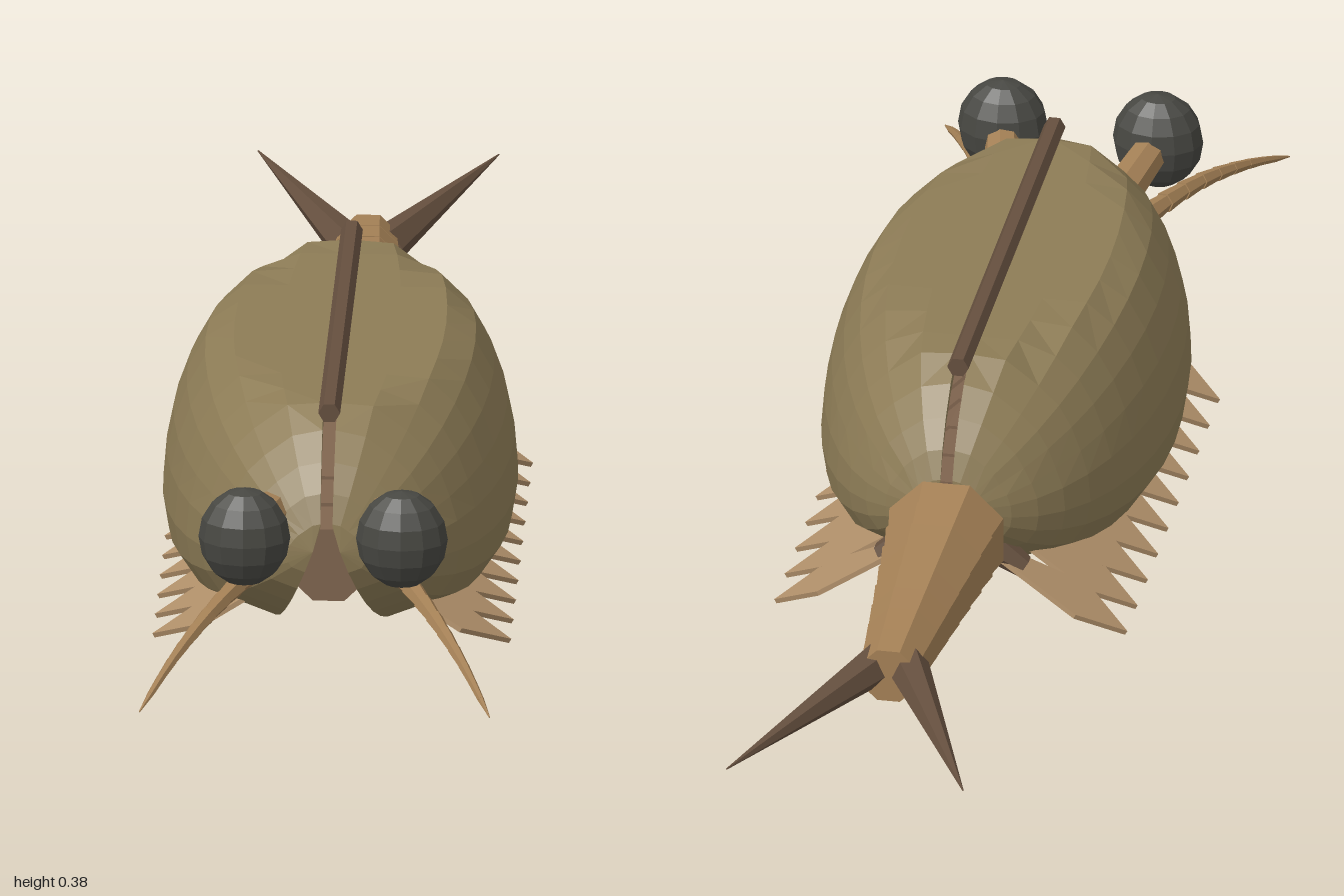
import * as THREE from 'three';

const V = (x, y, z) => new THREE.Vector3(x, y, z);
const mat = (color) => new THREE.MeshStandardMaterial({ color, flatShading: true, side: THREE.DoubleSide });
const SHELL = mat(0x8d7c56), TAN = mat(0xa58156), FIN = mat(0xb1906a),
  DARK = mat(0x66503f), BODY = mat(0x80654f), EYE = mat(0x474742);

function add(parent, name, geometry, material) {
  const mesh = new THREE.Mesh(geometry, material);
  mesh.name = name;
  parent.add(mesh);
  return mesh;
}

// Tapered cylinder running from point a to point b
function limb(parent, name, a, b, ra, rb, sides, material, turn = 0) {
  const geo = new THREE.CylinderGeometry(rb, ra, a.distanceTo(b), sides);
  geo.rotateY(turn);
  const mesh = add(parent, name, geo, material);
  mesh.position.copy(a).add(b).multiplyScalar(0.5);
  mesh.quaternion.setFromUnitVectors(V(0, 1, 0), b.clone().sub(a).normalize());
  return mesh;
}

// Hollow half shell: a thick curved section swept along z, shrinking to both tips
function valveGeometry(side) {
  const outer = [[0.01, 0.25], [0.08, 0.235], [0.145, 0.185], [0.185, 0.145], [0.21, 0.1], [0.228, 0.05],
    [0.238, 0], [0.243, -0.06], [0.235, -0.11], [0.205, -0.155], [0.09, -0.2]];
  const inner = outer.map(([x, y]) => [x * 0.93, y * 0.91]).reverse();
  const loop = [...outer.map((p) => [...p, 0.17]), ...inner.map((p) => [...p, 0.158])];
  const rim = (y) => 0.008 + Math.max(0, 0.23 - y) * 0.357;
  const stations = 20, n = loop.length, pos = [], idx = [];
  for (let i = 0; i <= stations; i++) {
    const a = Math.PI * i / stations, s = Math.sin(a);
    for (const [px, py, top] of loop) {
      const y = 0.2 + Math.min(top, py * s);
      const x = rim(y) + Math.max(0, px - rim(0.2 + py)) * s;
      pos.push(side * x, y, 0.185 - 0.445 * Math.cos(a));
    }
  }
  for (let i = 0; i < stations; i++) {
    for (let j = 0; j < n; j++) {
      const a = i * n + j, b = i * n + (j + 1) % n, c = a + n, d = b + n;
      if (side > 0) idx.push(a, c, b, b, c, d);
      else idx.push(a, b, c, b, d, c);
    }
  }
  const geo = new THREE.BufferGeometry();
  geo.setAttribute('position', new THREE.Float32BufferAttribute(pos, 3));
  geo.setIndex(idx);
  geo.computeVertexNormals();
  return geo;
}

// Pointed leaf shape, lying in the outward and lengthwise directions
function finGeometry() {
  const shape = new THREE.Shape([[0, -0.016], [0.125, -0.046], [0.2, -0.012], [0.125, 0.046], [0, 0.016]]
    .map(([u, w]) => new THREE.Vector2(u, w)));
  const geo = new THREE.ExtrudeGeometry(shape, { depth: 0.007, bevelEnabled: false });
  return geo.translate(0, 0, -0.0035);
}

export function createModel() {
  const model = new THREE.Group();
  model.name = 'bivalvedCrustacean';

  // Hinge rod along the back
  limb(model, 'hingeRod', V(0, 0.37, -0.17), V(0, 0.37, 0.54), 0.015, 0.015, 6, DARK, Math.PI / 2);

  // Trunk inside the shell, made of overlapping rings
  const trunk = new THREE.Group();
  trunk.name = 'trunk';
  model.add(trunk);
  const trunkRings = 10;
  for (let i = 0; i < trunkRings; i++) {
    const z = -0.24 + i * 0.08;
    const r = i > 7 ? 0.08 - (i - 7) * 0.01 : 0.08;
    limb(trunk, 'trunkRing', V(0, 0.155, z), V(0, 0.155, z + 0.08), r, r * 0.94, 8, BODY, Math.PI / 8);
  }

  // Tail rings, each flaring slightly over the next
  const tail = new THREE.Group();
  tail.name = 'tail';
  model.add(tail);
  const rings = 8;
  for (let i = 0; i < rings; i++) {
    const z = -0.255 - i * 0.053, r = 0.086 - i * 0.0056;
    const y = 0.155 + i * 0.0007;
    limb(tail, 'tailRing', V(0, y, z), V(0, y, z - 0.054), r, r * 0.89, 8, TAN, Math.PI / 8);
  }

  const finGeo = finGeometry();
  for (const side of [1, -1]) {
    const label = side > 0 ? 'left' : 'right';
    const half = new THREE.Group();
    half.name = label + 'Side';
    model.add(half);

    add(half, label + 'Shell', valveGeometry(side), SHELL);

    // Eye on a stalk
    limb(half, label + 'EyeStalk', V(side * 0.072, 0.238, 0.55), V(side * 0.104, 0.256, 0.71), 0.03, 0.025, 8, TAN);
    const eye = add(half, label + 'Eye', new THREE.SphereGeometry(1, 12, 8), EYE);
    eye.scale.set(0.063, 0.07, 0.05);
    eye.position.set(side * 0.108, 0.26, 0.73);

    // Jointed feeler following a drooping curve
    const curve = new THREE.CatmullRomCurve3([V(side * 0.065, 0.174, 0.55), V(side * 0.105, 0.178, 0.66),
      V(side * 0.155, 0.167, 0.79), V(side * 0.2, 0.14, 0.9), V(side * 0.24, 0.103, 1)]);
    const joints = 12;
    for (let i = 0; i < joints; i++) {
      const r = 0.021 - 0.0165 * i / (joints - 1);
      limb(half, label + 'FeelerJoint', curve.getPoint(i / joints), curve.getPoint((i + 1) / joints),
        r, i === joints - 1 ? 0.001 : r * 0.78, 6, TAN);
    }

    // Leaf legs in a row, each on a short dark base
    const out = V(side * 0.873, -0.488, 0), along = V(0, 0, 1);
    const basis = new THREE.Matrix4().makeBasis(out, along, out.clone().cross(along));
    for (let i = 0; i < 10; i++) {
      const z = 0.47 - i * 0.0756;
      const fin = add(half, label + 'LeafLeg', finGeo, FIN);
      fin.quaternion.setFromRotationMatrix(basis);
      fin.position.set(side * 0.07, 0.107, z);
      limb(half, label + 'LegBase', V(side * 0.045, 0.13, z), V(side * 0.1, 0.092, z), 0.026, 0.016, 6, DARK);
    }

    // Tail spike
    limb(half, label + 'TailSpike', V(side * 0.022, 0.161, -0.65), V(side * 0.165, 0.168, -1), 0.029, 0.001, 6, DARK);
  }
  return model;
}
